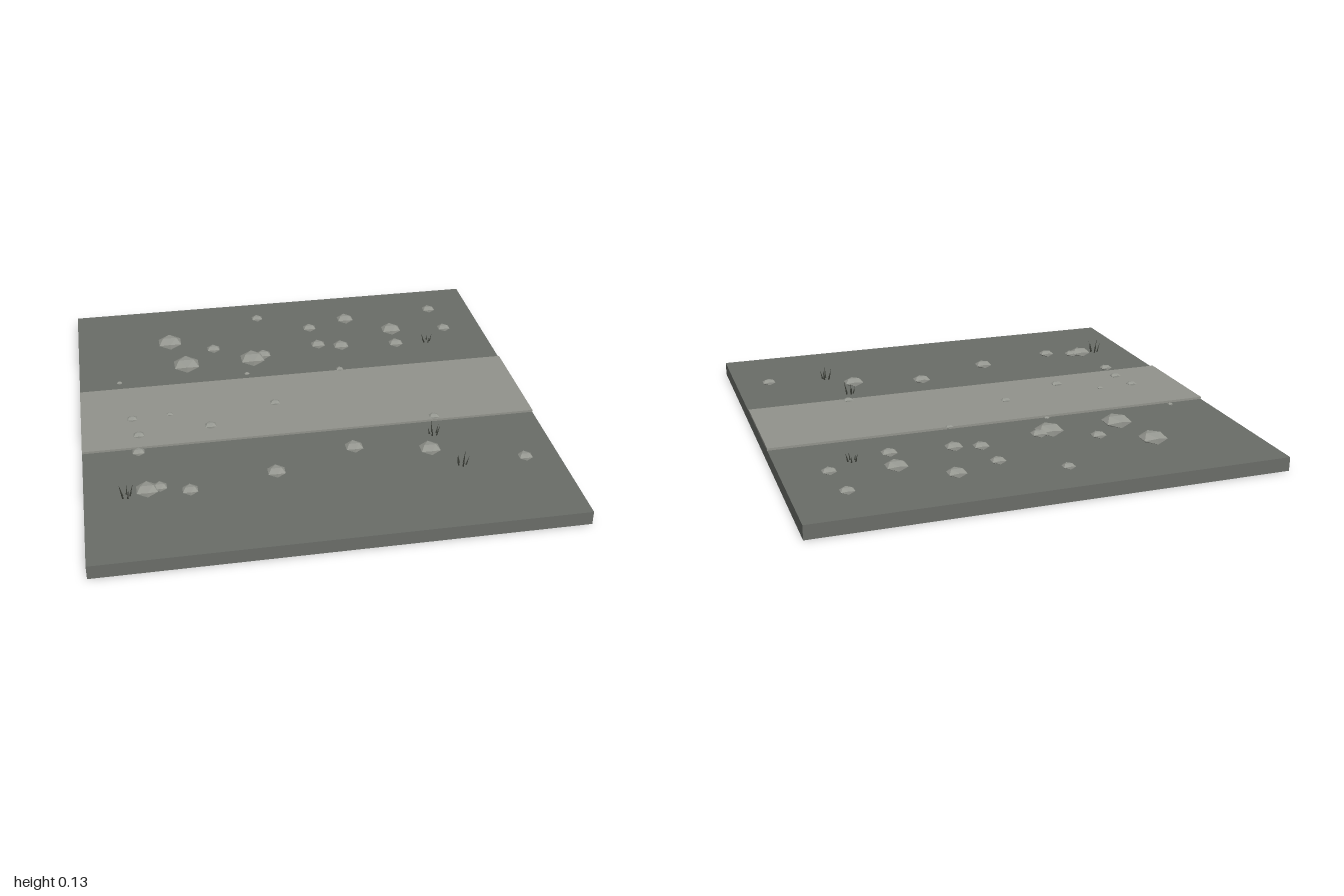
import * as THREE from 'three';

function material(name, color, extra = {}) {
  const m = new THREE.MeshStandardMaterial({ color, ...extra });
  m.name = name;
  return m;
}

export function createModel() {
  const group = new THREE.Group();
  const ground = material('ground grey', 0x6a6d68);
  const pathGrey = material('path grey', 0x92938c);
  const stone = material('stone grey', 0x979992, { flatShading: true });
  const grass = material('dry grass', 0x3d4039, { flatShading: true });

  const add = (name, geometry, mat, x, y, z) => {
    const mesh = new THREE.Mesh(geometry, mat);
    mesh.name = name;
    mesh.position.set(x, y, z);
    group.add(mesh);
    return mesh;
  };

  // Ground slab and the raised path across it
  add('groundSlab', new THREE.BoxGeometry(2, 0.06, 2), ground, 0, 0.03, 0);
  add('path', new THREE.BoxGeometry(2, 0.012, 0.495), pathGrey, 0, 0.064, -0.002);

  // Flattened stones: x, z, half width
  const rocks = [
    [-0.556, -0.65, 0.053], [-0.495, -0.42, 0.057], [-0.177, -0.425, 0.054],
    [-0.12, -0.452, 0.032], [-0.352, -0.548, 0.029], [-0.1, -0.825, 0.025],
    [0.145, -0.68, 0.029], [0.34, -0.745, 0.037], [0.785, -0.778, 0.028],
    [0.545, -0.6, 0.043], [0.81, -0.57, 0.028], [0.537, -0.457, 0.031],
    [0.267, -0.478, 0.034], [0.158, -0.507, 0.031], [-0.762, 0.285, 0.025],
    [0.15, 0.4, 0.036], [0.467, 0.467, 0.041], [-0.205, 0.525, 0.036],
    [-0.57, 0.595, 0.031], [-0.743, 0.563, 0.043], [-0.69, 0.553, 0.028],
    [0.85, 0.592, 0.028],
  ];
  const pebbles = [
    [0.217, -0.255, 0.015], [-0.222, -0.285, 0.011], [-0.817, -0.3, 0.011],
    [-0.775, 0.02, 0.021], [-0.608, 0.01, 0.013], [-0.13, -0.01, 0.021],
    [-0.437, 0.13, 0.024], [-0.753, 0.155, 0.023], [0.55, 0.222, 0.021],
  ];
  const rockGeometry = new THREE.IcosahedronGeometry(1 / 0.8507, 0);
  const addStones = (name, list) => list.forEach(([x, z, r]) => {
    add(name, rockGeometry, stone, x, 0.073, z).scale.set(r, r * 0.4, r);
  });
  addStones('rock', rocks);
  addStones('pebble', pebbles);

  // Grass tufts of thin splayed blades: x, z, height
  const blade = new THREE.ConeGeometry(0.004, 1, 4);
  blade.translate(0, 0.5, 0);
  const tufts = [[0.695, -0.47, 0.042], [0.515, 0.345, 0.06], [0.575, 0.59, 0.066], [-0.83, 0.582, 0.07]];
  tufts.forEach(([x, z, h], t) => {
    for (let i = 0; i < 5; i++) {
      const a = i * 1.257 + t * 0.8;
      const b = add('grassBlade', blade, grass, x + Math.cos(a) * 0.016, 0.058, z + Math.sin(a) * 0.016);
      b.scale.y = h * (1 - 0.13 * ((i * 2) % 5) * 0.8);
      b.rotation.set(Math.sin(a) * 0.25, 0, -Math.cos(a) * 0.25);
    }
  });

  return group;
}
